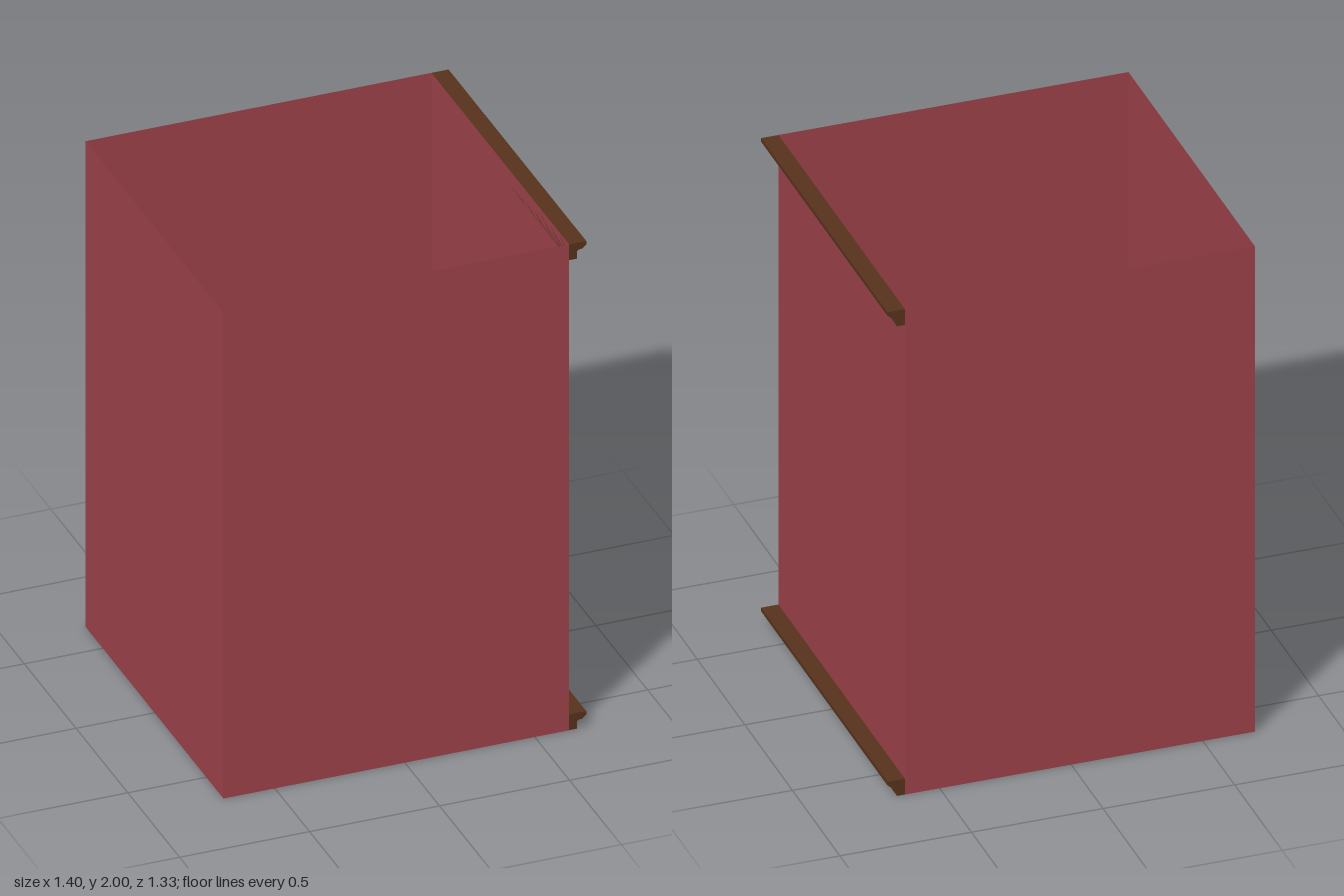
import * as THREE from 'three';

const WIDTH = 1.33, HEIGHT = 2, DEPTH = 1.33;
const LEFT = -0.698, RIGHT = LEFT + WIDTH;

export function createModel() {
  const model = new THREE.Group();
  const red = new THREE.MeshStandardMaterial({ color: 0xa0434b, side: THREE.DoubleSide });
  const brown = new THREE.MeshStandardMaterial({ color: 0x59331c, flatShading: true });
  const midX = (LEFT + RIGHT) / 2;

  // Thin flat panel, placed and turned
  function panel(name, w, h, [x, y, z], [rx, ry]) {
    const mesh = new THREE.Mesh(new THREE.PlaneGeometry(w, h), red);
    mesh.name = name;
    mesh.position.set(x, y, z);
    mesh.rotation.set(rx, ry, 0);
    model.add(mesh);
  }

  // Four walls and a floor, open at the top
  const q = Math.PI / 2;
  panel('frontWall', WIDTH, HEIGHT, [midX, HEIGHT / 2, DEPTH / 2], [0, 0]);
  panel('backWall', WIDTH, HEIGHT, [midX, HEIGHT / 2, -DEPTH / 2], [0, Math.PI]);
  panel('leftWall', DEPTH, HEIGHT, [RIGHT, HEIGHT / 2, 0], [0, q]);
  panel('rightWall', DEPTH, HEIGHT, [LEFT, HEIGHT / 2, 0], [0, -q]);
  panel('floor', WIDTH, DEPTH, [midX, 0, 0], [q, 0]);

  // Moulding profile: stem, small step, sloped underside and lip
  const profile = new THREE.Shape([
    [0, 0], [0.03, 0], [0.03, 0.03], [0.036, 0.036],
    [0.05, 0.037], [0.066, 0.05], [0.066, 0.065], [0, 0.065],
  ].map(([x, y]) => new THREE.Vector2(x, y)));
  const moulding = new THREE.ExtrudeGeometry(profile, { depth: DEPTH, bevelEnabled: false });

  // The same moulding along the top and the bottom of one wall
  for (const [name, y] of [['topMoulding', HEIGHT - 0.065], ['bottomMoulding', 0]]) {
    const mesh = new THREE.Mesh(moulding, brown);
    mesh.name = name;
    mesh.position.set(RIGHT, y, -DEPTH / 2);
    model.add(mesh);
  }
  return model;
}
